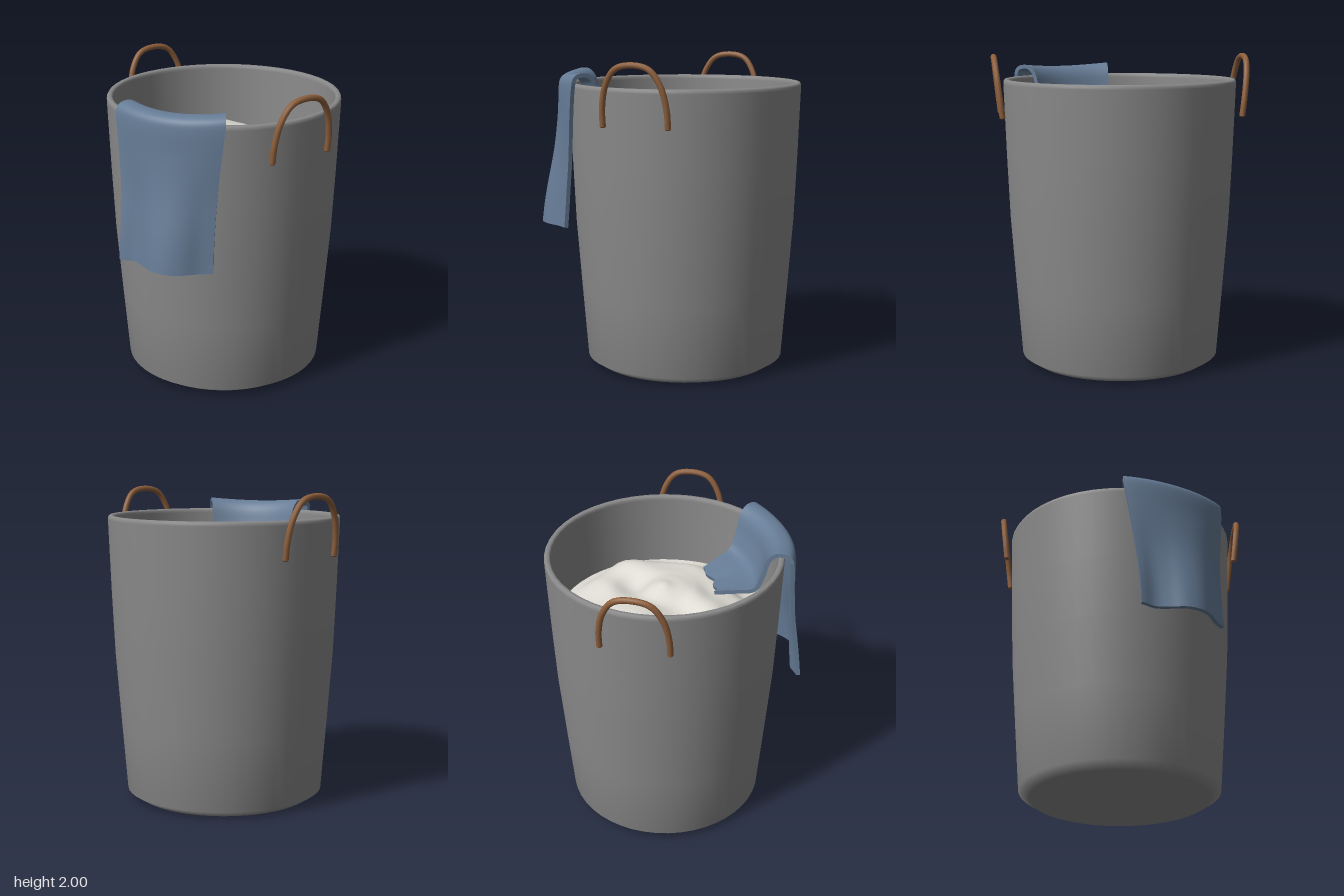
import * as THREE from 'three';
import { toCreasedNormals } from 'three/addons/utils/BufferGeometryUtils.js';

const CZ = -0.07; // basket axis
const V2 = (x, y) => new THREE.Vector2(x, y);
const mat = (name, color, side = THREE.FrontSide) => {
  const m = new THREE.MeshStandardMaterial({ color, side });
  m.name = name;
  return m;
};
const smooth = THREE.MathUtils.smoothstep;

function part(name, geometry, material) {
  const m = new THREE.Mesh(geometry, material);
  m.name = name;
  return m;
}

// Tapered bucket with a rolled rim, hollow inside
function basketGeometry() {
  const profile = [
    [0, 0], [0.57, 0], [0.64, 0.045], [0.676, 0.5], [0.71, 0.95], [0.728, 1.35],
    [0.745, 1.81], [0.745, 1.825], [0.737, 1.838], [0.715, 1.838], [0.707, 1.825], [0.707, 1.81],
    [0.69, 1.35], [0.675, 0.95], [0.61, 0.06], [0, 0.06],
  ].map(p => V2(...p));
  return new THREE.LatheGeometry(profile, 48);
}

// Lumpy mound of laundry: a disc raised by soft waves
function laundryGeometry() {
  const g = new THREE.RingGeometry(0.001, 0.7, 64, 22);
  g.rotateX(-Math.PI / 2);
  const p = g.attributes.position;
  for (let i = 0; i < p.count; i++) {
    const x = p.getX(i), z = p.getZ(i), r = Math.hypot(x, z);
    const dome = 1.36 + 0.19 * (1 - smooth(r, 0.32, 0.68));
    const tip = 0.06 * Math.max(0, 1 - r / 0.16);
    const lumps = 0.028 * Math.sin(9 * x + 2 * Math.sin(5 * z)) + 0.024 * Math.sin(11 * z - 4 * x + 1)
      + 0.012 * Math.sin(19 * x + 13 * z);
    p.setY(i, dome + tip + lumps * smooth(r, 0.02, 0.25) * (1 - smooth(r, 0.5, 0.7)));
  }
  return toCreasedNormals(g, 1.5);
}

// Towel: a thick strip bent over the rim, fanned around the basket axis
function towelGeometry() {
  const path = new THREE.SplineCurve([
    [0.32, 1.575], [0.45, 1.6], [0.57, 1.63], [0.62, 1.73], [0.65, 1.84], [0.69, 1.89], [0.74, 1.898],
    [0.785, 1.88], [0.8, 1.82], [0.805, 1.65], [0.815, 1.4], [0.84, 1.15], [0.86, 0.945],
  ].map(p => V2(...p)));
  const folds = new THREE.SplineCurve(
    [0.018, -0.02, 0, 0.045, 0.055, 0.03, -0.015, -0.03].map((o, i) => V2(i / 7, o)));
  const NU = 60, NV = 28, HALF = 0.013, ring = 2 * (NU + 1);
  const section = [];
  for (const side of [1, -1]) {
    for (let i = 0; i <= NU; i++) {
      const t = (side > 0 ? i : NU - i) / NU;
      const c = path.getPoint(t), d = path.getTangent(t);
      section.push({ t, y0: c.y, r: c.x - d.y * HALF * side, y: c.y + d.x * HALF * side });
    }
  }
  const pos = [], idx = [];
  for (let j = 0; j <= NV; j++) {
    const v = j / NV, fold = folds.getPoint(v).y;
    for (const s of section) {
      const drop = s.t > 0.55 ? THREE.MathUtils.clamp((1.85 - s.y0) / 0.9, 0, 1) : 0;
      const narrow = Math.sin(drop * Math.PI / 2);
      const deg = 54 * v + narrow * (7 * (1 - v) - 5 * v);
      const a = THREE.MathUtils.degToRad(deg);
      const hem = 0.012 * Math.sin(v * 14) * (1 - smooth(s.t, 0, 0.15));
      const r = s.r + fold * smooth(drop, 0.1, 1) + hem;
      pos.push(r * Math.sin(a), s.y - 0.018 * Math.sin(Math.PI * v) * (1 - drop), r * Math.cos(a));
    }
  }
  for (let j = 0; j < NV; j++) {
    for (let k = 0; k < ring; k++) {
      const k2 = (k + 1) % ring, a = j * ring, b = a + ring;
      idx.push(a + k, a + k2, b + k, b + k, a + k2, b + k2);
    }
  }
  // side edges
  for (let i = 0; i < NU; i++) {
    const T = i, T2 = i + 1, B = ring - 1 - i, B2 = B - 1, e = NV * ring;
    idx.push(T, B, T2, T2, B, B2);
    idx.push(e + T, e + T2, e + B, e + T2, e + B2, e + B);
  }
  const g = new THREE.BufferGeometry();
  g.setAttribute('position', new THREE.Float32BufferAttribute(pos, 3));
  g.setIndex(idx);
  return toCreasedNormals(g, 0.9);
}

// Arched handle leaning outward, with rounded ends
function handle(name, side, material) {
  const group = new THREE.Group();
  group.name = name;
  const half = [[0.213, 1.61], [0.21, 1.72], [0.178, 1.86], [0.11, 1.955]];
  const pts = [...half, [0, 1.98], ...half.map(([z, y]) => [-z, y]).reverse()]
    .map(([z, y]) => new THREE.Vector3(side * (0.758 + (y - 1.6) * 0.12), y, z));
  group.add(part('handleArch', new THREE.TubeGeometry(new THREE.CatmullRomCurve3(pts), 48, 0.019, 10), material));
  for (const p of [pts[0], pts[pts.length - 1]]) {
    const end = part('handleEnd', new THREE.SphereGeometry(0.019, 10, 8), material);
    end.scale.y = 0.5;
    end.position.copy(p);
    group.add(end);
  }
  return group;
}

export function createModel() {
  const grey = mat('basket grey', 0x8a8a8b);
  const linen = mat('linen white', 0xdddbd3, THREE.DoubleSide);
  const blue = mat('towel blue', 0x667c96);
  const leather = mat('handle brown', 0x8d5f3c);

  const model = new THREE.Group();
  model.name = 'laundryBasket';
  model.add(
    part('basket', basketGeometry(), grey),
    part('laundryPile', laundryGeometry(), linen),
    part('towel', towelGeometry(), blue),
    handle('leftHandle', 1, leather),
    handle('rightHandle', -1, leather),
  );
  for (const child of model.children) child.position.z = CZ;
  return model;
}
